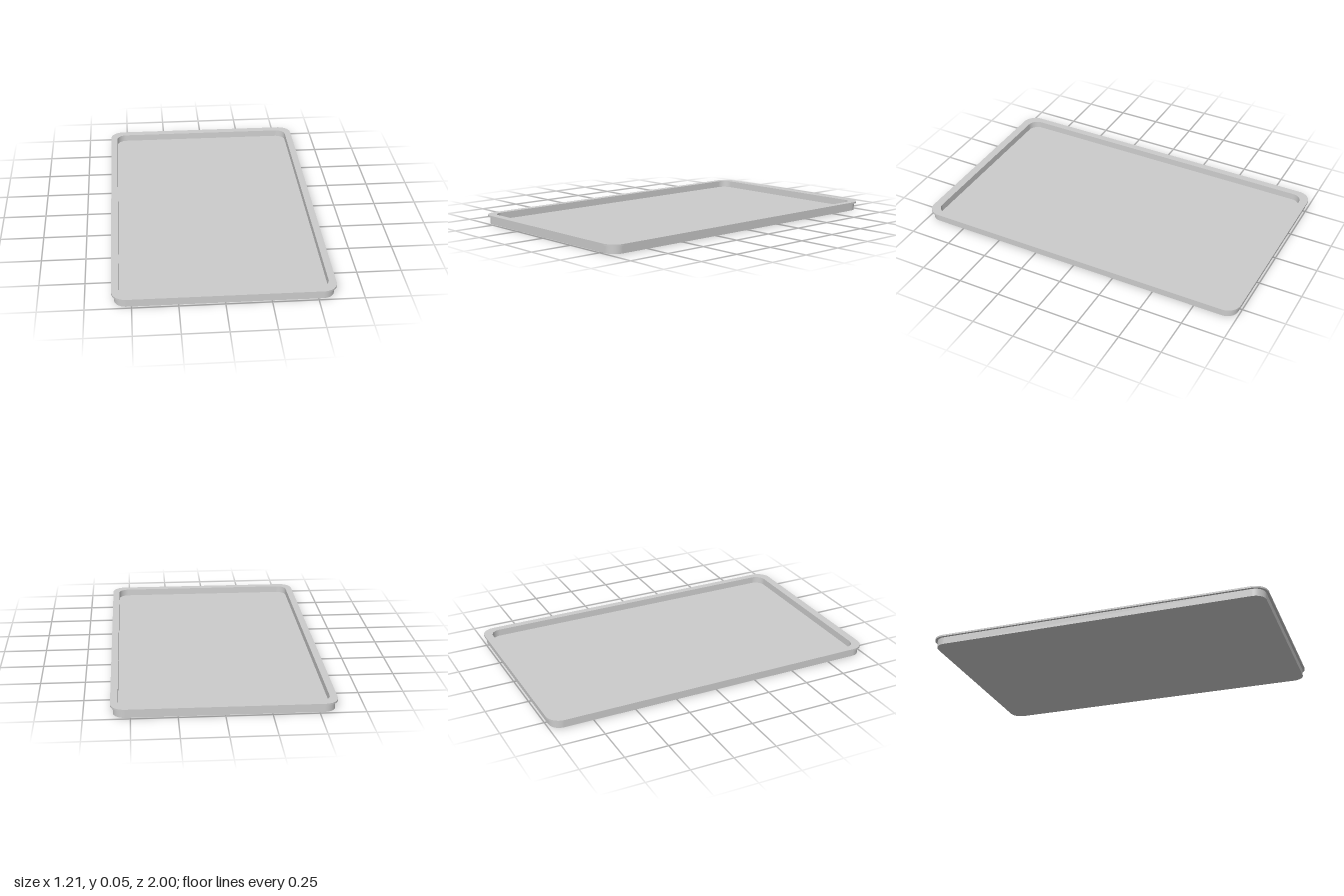
import * as THREE from 'three';
import { mergeGeometries } from 'three/addons/utils/BufferGeometryUtils.js';

const CORNER_STEPS = 12;

// Rounded-rectangle loop of points at height y (hx, hz are half sizes)
function ring([hx, hz, r, y]) {
  const points = [];
  for (let c = 0; c < 4; c++) {
    const sx = c === 0 || c === 3 ? 1 : -1;
    const sz = c < 2 ? 1 : -1;
    for (let i = 0; i <= CORNER_STEPS; i++) {
      const a = (c + i / CORNER_STEPS) * Math.PI / 2;
      points.push(sx * (hx - r) + r * Math.cos(a), y, sz * (hz - r) + r * Math.sin(a));
    }
  }
  return points;
}

// Surface between two loops, smooth around the corners
function band(from, to) {
  const a = ring(from), b = ring(to), n = a.length / 3, index = [];
  for (let i = 0; i < n; i++) {
    const j = (i + 1) % n;
    index.push(i, n + i, j, j, n + i, n + j);
  }
  const geometry = new THREE.BufferGeometry();
  geometry.setAttribute('position', new THREE.Float32BufferAttribute([...a, ...b], 3));
  geometry.setIndex(index);
  geometry.computeVertexNormals();
  return geometry;
}

// Bands through successive loops, with a sharp edge at each loop
function loft(loops) {
  return mergeGeometries(loops.slice(1).map((loop, i) => band(loops[i], loop)));
}

export function createModel() {
  const group = new THREE.Group();
  group.name = 'tray';
  const material = new THREE.MeshStandardMaterial({ color: 0xcccccc });
  const add = (name, loops) => {
    const mesh = new THREE.Mesh(loft(loops), material);
    mesh.name = name;
    group.add(mesh);
  };

  // Loops: half width, half length, corner radius, height
  const centre = y => [0, 0, 0, y];
  const base = [0.592, 0.986, 0.066, 0];
  const underLip = [0.592, 0.986, 0.066, 0.043];
  const lipLow = [0.606, 1, 0.08, 0.043];
  const lipTop = [0.606, 1, 0.08, 0.053];
  const innerTop = [0.566, 0.953, 0.06, 0.053];
  const innerFloor = [0.565, 0.951, 0.06, 0.013];

  // Underside and outer wall
  add('outerShell', [centre(0), base, underLip]);
  // Overhanging lip around the top
  add('rim', [underLip, lipLow, lipTop, innerTop]);
  // Recessed inner wall and floor
  add('innerWall', [innerTop, innerFloor]);
  add('floor', [innerFloor, centre(0.013)]);

  return group;
}
